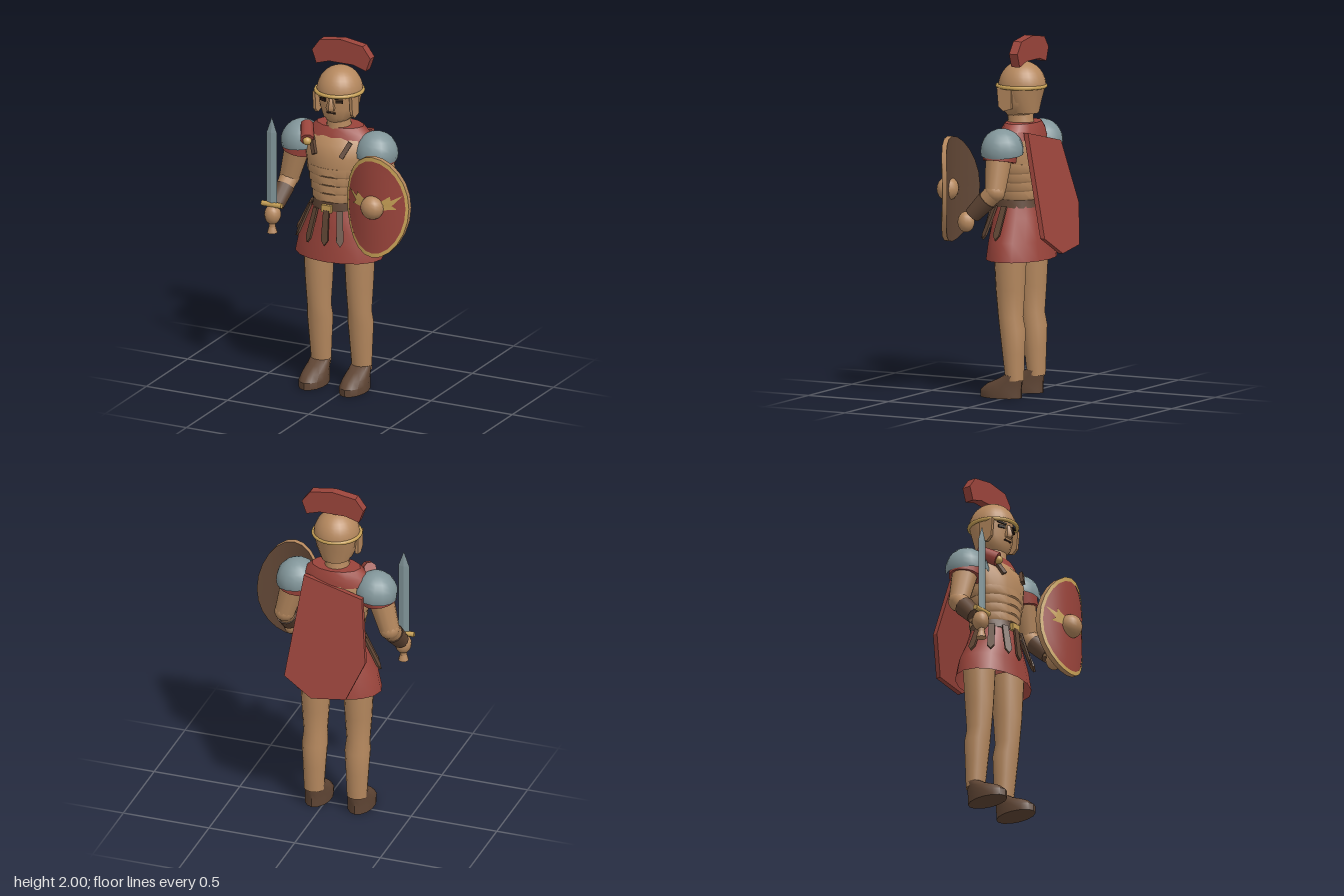
import * as THREE from 'three';
import { toCreasedNormals } from 'three/addons/utils/BufferGeometryUtils.js';

const mat = (name, color) => Object.assign(new THREE.MeshStandardMaterial({ color }), { name });

export function createModel() {
  const skin = mat('skin and bronze', 0xb5885e);
  const red = mat('red cloth', 0x9a443b);
  red.side = THREE.DoubleSide;
  const steel = mat('steel', 0x82969a);
  const gold = mat('gold', 0xc7a056);
  const leather = mat('dark leather', 0x5f4534);
  const dark = mat('dark lines', 0x2b1d16);
  const model = new THREE.Group();
  const body = new THREE.Group();
  body.name = 'body';
  body.position.x = -0.075;
  model.add(body);

  const V = (x, y, z) => new THREE.Vector3(x, y, z);
  const add = (name, geo, material, parent = body) => {
    const m = new THREE.Mesh(geo, material);
    m.name = name;
    parent.add(m);
    return m;
  };

  // Skin horizontal elliptical rings [x, y, z, rx, rz], listed from bottom to top
  const loft = (rings, sides = 16, caps = true) => {
    const pos = [], idx = [];
    rings.forEach(([x, y, z, rx, rz]) => {
      for (let j = 0; j < sides; j++) {
        const t = (j / sides) * Math.PI * 2;
        pos.push(x + rx * Math.sin(t), y, z + rz * Math.cos(t));
      }
    });
    for (let i = 0; i < rings.length - 1; i++) {
      for (let j = 0; j < sides; j++) {
        const a = i * sides + j, b = i * sides + (j + 1) % sides;
        idx.push(a, b, a + sides, b, b + sides, a + sides);
      }
    }
    if (caps) {
      const top = (rings.length - 1) * sides;
      for (let j = 1; j < sides - 1; j++) idx.push(0, j + 1, j, top, top + j, top + j + 1);
    }
    const g = new THREE.BufferGeometry();
    g.setAttribute('position', new THREE.Float32BufferAttribute(pos, 3));
    g.setIndex(idx);
    return toCreasedNormals(g, 0.7);
  };

  // Tapered cylinder between two points
  const limb = (name, a, b, ra, rb, material, sides = 12) => {
    const d = b.clone().sub(a);
    const m = add(name, new THREE.CylinderGeometry(rb, ra, d.length(), sides), material);
    m.position.copy(a).addScaledVector(d, 0.5);
    m.quaternion.setFromUnitVectors(V(0, 1, 0), d.normalize());
    return m;
  };
  const ball = (name, p, r, material, sx = 1, sy = 1, sz = 1) => {
    const m = add(name, new THREE.SphereGeometry(r, 14, 10), material);
    m.position.copy(p);
    m.scale.set(sx, sy, sz);
    return m;
  };
  const shape = (pts) => new THREE.Shape(pts.map(([x, y]) => new THREE.Vector2(x, y)));

  // Head, neck and face
  add('neck', loft([[0, 1.48, -0.02, 0.08, 0.085], [0, 1.53, -0.015, 0.066, 0.072], [0, 1.62, -0.01, 0.07, 0.075]]), skin);
  add('head', loft([[0, 1.545, -0.005, 0.05, 0.06], [0, 1.575, -0.01, 0.085, 0.088], [0, 1.63, -0.015, 0.108, 0.1],
    [0, 1.73, -0.018, 0.118, 0.108]]), skin);
  add('nose', loft([[0, 1.628, 0.08, 0.024, 0.028], [0, 1.645, 0.085, 0.028, 0.03], [0, 1.7, 0.08, 0.012, 0.018]], 6), skin);
  add('mouth', new THREE.BoxGeometry(0.052, 0.008, 0.009), dark).position.set(0, 1.612, 0.082);
  for (const s of [-1, 1]) {
    const eye = add('eye', new THREE.BoxGeometry(0.042, 0.016, 0.009), dark);
    eye.position.set(s * 0.05, 1.683, 0.081);
    eye.rotation.y = s * 0.4;
    const brow = add('brow', new THREE.BoxGeometry(0.055, 0.009, 0.009), dark);
    brow.position.set(s * 0.052, 1.704, 0.083);
    brow.rotation.set(0, s * 0.4, s * 0.15);
  }

  // Helmet with band, cheek guards and transverse crest
  const dome = add('helmetDome', new THREE.SphereGeometry(0.13, 24, 10, 0, Math.PI * 2, 0, Math.PI / 2), skin);
  dome.position.set(0, 1.715, -0.025);
  dome.scale.set(0.98, 1.08, 1.03);
  add('helmetNeckGuard', loft([[0, 1.57, -0.04, 0.08, 0.078], [0, 1.65, -0.042, 0.108, 0.092], [0, 1.72, -0.04, 0.12, 0.115]]), skin);
  const band = add('helmetBand', new THREE.TorusGeometry(0.13, 0.011, 8, 28), gold);
  band.rotation.x = Math.PI / 2;
  band.position.set(0, 1.718, -0.02);
  band.scale.y = 1.03;
  const cheek = new THREE.ExtrudeGeometry(shape([[0.07, 1.715], [0.06, 1.61], [0.03, 1.585], [-0.02, 1.6], [-0.02, 1.715]]),
    { depth: 0.016, bevelEnabled: false });
  for (const s of [-1, 1]) {
    const m = add('cheekGuard', cheek, skin);
    m.rotation.y = -Math.PI / 2;
    m.position.x = s * 0.113 + 0.008;
  }
  const crest = shape([[-0.18, 1.915], [-0.132, 1.98], [0, 2], [0.132, 1.98], [0.18, 1.915], [0.153, 1.84], [0.075, 1.864], [-0.075, 1.864], [-0.153, 1.84]]);
  add('crest', new THREE.ExtrudeGeometry(crest, { depth: 0.052, bevelEnabled: false }), red).position.z = -0.092;

  // Torso: breastplate, overlapping waist bands, collar
  add('breastplate', loft([[0, 1.28, -0.008, 0.178, 0.138], [0, 1.36, -0.008, 0.19, 0.142], [0, 1.43, -0.015, 0.185, 0.125],
    [0, 1.47, -0.025, 0.17, 0.1]], 20), skin);
  for (let i = 0; i < 4; i++) {
    const y = 1.095 + i * 0.05, r = 0.138 + i * 0.011;
    add('waistBand', loft([[0, y, -0.01, r, 0.128 + i * 0.003], [0, y + 0.012, -0.01, r + 0.008, 0.137 + i * 0.003],
      [0, y + 0.055, -0.01, r + 0.01, 0.134 + i * 0.003]], 20), skin);
  }
  add('collar', loft([[0, 1.43, -0.025, 0.205, 0.115], [0, 1.48, -0.03, 0.18, 0.105], [0, 1.52, -0.032, 0.14, 0.088]], 12), red);
  for (const s of [-1, 1]) {
    const strap = add('chestStrap', new THREE.BoxGeometry(0.026, 0.1, 0.02), leather);
    strap.position.set(s * 0.1, 1.415, 0.103);
    strap.rotation.set(-0.3, s * 0.35, -s * 0.42);
  }

  // Belt, skirt and hanging straps
  add('belt', loft([[0, 1.055, -0.008, 0.147, 0.137], [0, 1.105, -0.008, 0.14, 0.132]], 20), leather);
  add('buckle', new THREE.BoxGeometry(0.06, 0.042, 0.02), gold).position.set(0, 1.07, 0.133);
  add('skirt', loft([[0, 0.765, -0.02, 0.258, 0.175], [0, 0.87, -0.018, 0.235, 0.162], [0, 1, -0.012, 0.168, 0.142],
    [0, 1.075, -0.01, 0.14, 0.13]], 16, false), red);
  const strapGeo = new THREE.ExtrudeGeometry(shape([[-0.017, 0], [0.017, 0], [0.02, -0.17], [0, -0.2], [-0.02, -0.17]]),
    { depth: 0.012, bevelEnabled: false });
  for (let i = -3; i <= 3; i++) {
    const t = i * 0.49, out = V(Math.sin(t), 0, Math.cos(t));
    const m = add('skirtStrap', strapGeo, leather);
    m.position.set(out.x * 0.15, 1.06, -0.01 + out.z * 0.143);
    m.rotation.order = 'YXZ';
    m.rotation.set(-0.13 - 0.33 * Math.abs(out.x), t, 0);
  }

  // Legs, boots and arms, mirrored
  for (const s of [-1, 1]) {
    const x = s * 0.125;
    add('leg', loft([[x, 0.1, -0.045, 0.056, 0.05], [x, 0.25, -0.038, 0.064, 0.062], [x, 0.38, -0.032, 0.072, 0.072],
      [x, 0.45, -0.02, 0.066, 0.07], [x, 0.6, -0.018, 0.076, 0.082], [x, 0.85, -0.018, 0.088, 0.095]]), skin);
    add('boot', loft([[x, 0, 0.04, 0.072, 0.125], [x, 0.04, 0.04, 0.073, 0.125], [x, 0.075, 0.018, 0.068, 0.105],
      [x, 0.105, -0.018, 0.062, 0.07], [x, 0.13, -0.04, 0.058, 0.048]], 14), leather);

    const shoulder = V(s * 0.24, 1.4, -0.015), elbow = V(s * 0.305, 1.165, -0.02), wrist = V(s * 0.325, 1.03, 0.11);
    const pauldron = add('pauldron', new THREE.SphereGeometry(0.12, 14, 7, 0, Math.PI * 2, 0, Math.PI * 0.56), steel);
    pauldron.position.set(s * 0.228, 1.385, -0.022);
    pauldron.scale.y = 1.02;
    pauldron.rotation.z = -s * 0.1;
    limb('sleeve', V(s * 0.25, 1.325, -0.018), V(s * 0.235, 1.4, -0.018), 0.092, 0.096, red, 14);
    limb('upperArm', elbow, shoulder, 0.057, 0.078, skin);
    ball('elbow', elbow, 0.058, skin);
    limb('forearm', elbow, wrist, 0.056, 0.04, skin);
    limb('bracer', elbow.clone().lerp(wrist, 0.35), wrist, 0.056, 0.046, leather);
    ball('hand', V(s * 0.325, 0.99, 0.15), 0.046, skin, 1, 1.25, 1.05);
  }

  // Cape clasp roll on the right shoulder
  limb('capeRoll', V(-0.18, 1.5, 0.02), V(-0.13, 1.445, 0.115), 0.036, 0.04, red, 8);
  ball('capeClasp', V(-0.128, 1.44, 0.12), 0.024, gold);

  // Cape: slanted slab hanging behind the back
  const cape = new THREE.ExtrudeGeometry(shape([[0.075, 1.48], [-0.27, 1.4], [-0.32, 1.05], [-0.225, 0.835], [-0.025, 0.81], [0.14, 0.91]]),
    { depth: 0.028, bevelEnabled: false });
  const cp = cape.attributes.position;
  for (let i = 0; i < cp.count; i++) cp.setZ(i, cp.getZ(i) - 0.142 - (1.48 - cp.getY(i)) * 0.245);
  cape.computeVertexNormals();
  add('cape', cape, red, model);

  // Sword
  const sword = new THREE.Group();
  sword.name = 'sword';
  sword.position.set(-0.4, 0, 0.16);
  model.add(sword);
  const blade = new THREE.CylinderGeometry(1, 1, 1, 4, 2).toNonIndexed();
  const bp = blade.attributes.position;
  for (let i = 0; i < bp.count; i++) {
    const k = bp.getY(i);
    const w = k > 0.1 ? 0.0005 : 1;
    bp.setXYZ(i, bp.getX(i) * 0.032 * w, k > 0.1 ? 1.56 : k < -0.1 ? 1.06 : 1.47, bp.getZ(i) * 0.009 * w);
  }
  blade.computeVertexNormals();
  add('blade', blade, steel, sword);
  const guard = add('guard', new THREE.CylinderGeometry(0.015, 0.015, 0.122, 10), gold, sword);
  guard.rotation.z = Math.PI / 2;
  guard.position.y = 1.05;
  add('grip', new THREE.CylinderGeometry(0.018, 0.02, 0.15, 8), skin, sword).position.set(0, 0.975, -0.005);
  add('pommel', new THREE.CylinderGeometry(0.02, 0.03, 0.035, 8), skin, sword).position.set(0, 0.903, -0.005);

  // Oval shield, curved around its vertical axis
  const shield = new THREE.Group();
  shield.name = 'shield';
  shield.position.set(0.267, 1.17, 0.253);
  model.add(shield);
  const bend = (g) => {
    const p = g.attributes.position;
    for (let i = 0; i < p.count; i++) p.setZ(i, p.getZ(i) - 1.95 * p.getX(i) ** 2);
    g.computeVertexNormals();
    return g;
  };
  const oval = (inner, outer) => new THREE.RingGeometry(inner, outer, 24, 5).scale(0.19, 0.292, 1);
  add('shieldFace', bend(oval(0.001, 0.93)), red, shield);
  add('shieldRim', bend(oval(0.92, 1).translate(0, 0, 0.003)), gold, shield);
  add('shieldEdge', bend(new THREE.CylinderGeometry(1, 1, 0.03, 24, 1, true).rotateX(Math.PI / 2).scale(0.19, 0.292, 1)
    .translate(0, 0, -0.012)), skin, shield);
  add('shieldBack', bend(oval(0.001, 1).rotateY(Math.PI).translate(0, 0, -0.026)), leather, shield);
  const boss = ball('shieldBoss', V(0, 0, 0.002), 0.067, skin, 1, 1, 0.9);
  shield.add(boss);
  for (const s of [-1, 1]) {
    const wing = shape([[0.165, 0.08], [0.105, 0.05], [0.1, 0.075], [0.035, 0.03], [0.045, -0.01], [0.135, 0], [0.11, 0.02]]
      .map(([x, y]) => [s * x, y]));
    add('shieldWing', bend(new THREE.ShapeGeometry(wing).translate(0, 0, 0.007)), gold, shield);
  }
  return model;
}
